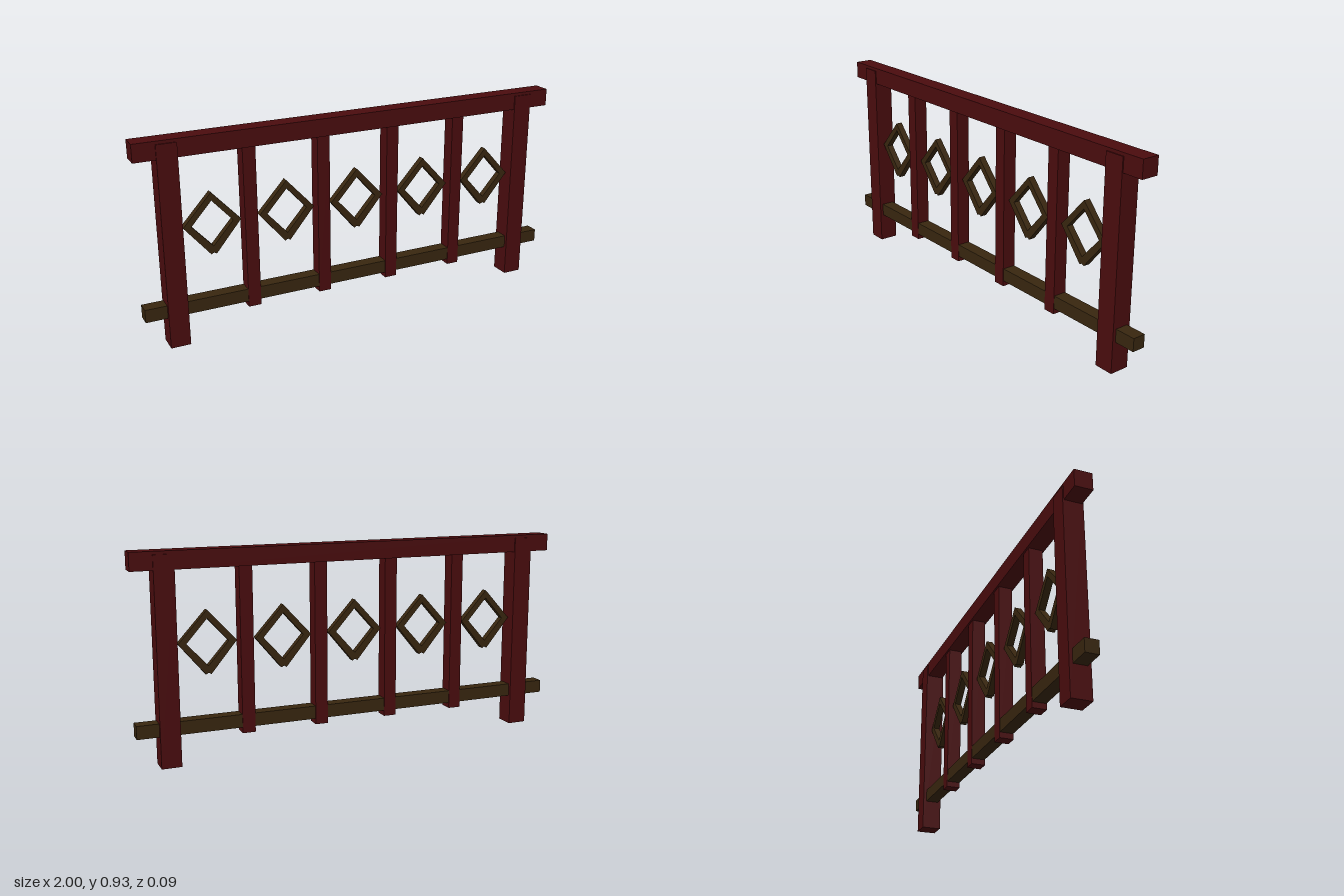
import * as THREE from 'three';

export function createModel() {
  const model = new THREE.Group();
  model.name = 'railing';
  const redWood = new THREE.MeshStandardMaterial({ color: 0x4a0c0e });
  redWood.name = 'dark red wood';
  const brownWood = new THREE.MeshStandardMaterial({ color: 0x38260f });
  brownWood.name = 'dark brown wood';

  // Square beam centred on z, from y0 to y1
  function beam(name, material, x, width, y0, y1, depth) {
    const mesh = new THREE.Mesh(new THREE.BoxGeometry(width, y1 - y0, depth), material);
    mesh.position.set(x, (y0 + y1) / 2, 0);
    mesh.name = name;
    model.add(mesh);
  }

  // Rails
  beam('handRail', redWood, 0, 2, 0.847, 0.926, 0.08);
  beam('lowerRail', brownWood, 0, 2, 0.138, 0.197, 0.06);

  // End posts, slightly proud of the hand rail
  for (const x of [-0.86, 0.86]) beam('endPost', redWood, x, 0.088, 0, 0.912, 0.09);

  // Balusters
  for (const x of [-0.511, -0.17, 0.17, 0.511]) beam('baluster', redWood, x, 0.058, 0.112, 0.86, 0.064);

  // Open diamond frames between the uprights
  const points = (list) => list.map(([x, y]) => new THREE.Vector2(x, y));
  const outline = new THREE.Shape(points([
    [-0.012, -0.14], [0, -0.133], [0.012, -0.14], [0.128, 0], [0, 0.14], [-0.128, 0],
  ]));
  outline.holes.push(new THREE.Path(points([[0, -0.103], [-0.092, 0], [0, 0.103], [0.092, 0]])));
  const depth = 0.03;
  const diamond = new THREE.ExtrudeGeometry(outline, { depth, bevelEnabled: false });
  diamond.translate(0, 0, -depth / 2);
  for (let i = -2; i <= 2; i++) {
    const mesh = new THREE.Mesh(diamond, brownWood);
    mesh.position.set(i * 0.34, 0.527, 0);
    mesh.name = 'diamondFrame';
    model.add(mesh);
  }
  return model;
}
